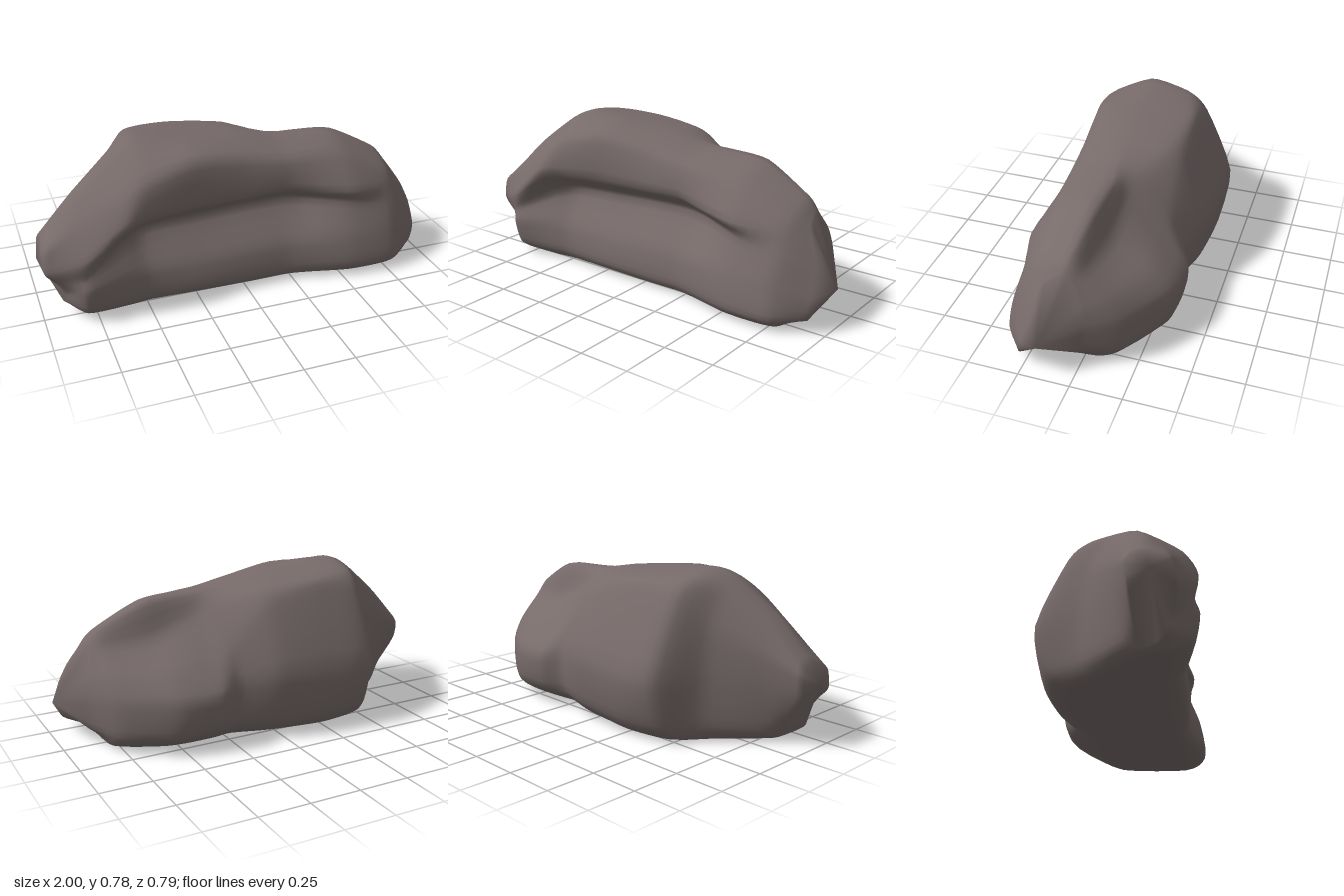
import * as THREE from 'three';

const RINGS = 50; // rings along the boulder
const SIDES = 48; // points around each ring

// Shared stations along the length; the two ends differ for each rail.
const stations = [-0.8, -0.6, -0.48, -0.25, 0.03, 0.22, 0.34, 0.55, 0.78];

// A guide rail running from the right end to the left end of the rock.
function rail([start, end], heights, depths) {
  const xs = [start, ...stations, end];
  return new THREE.CatmullRomCurve3(
    xs.map((x, i) => new THREE.Vector3(x, heights[i], depths[i])), false, 'catmullrom', 0.35);
}

// Front face, from the ground up
const bottomFront = rail([-0.85, 0.83],
  [0.03, 0.01, 0, 0, 0, 0, 0, 0, 0, 0, 0.03],
  [0.18, 0.26, 0.24, 0.22, 0.22, 0.23, 0.23, 0.25, 0.29, 0.28, 0.2]);
const skirt = rail([-0.9, 0.92],
  [0.07, 0.06, 0.06, 0.06, 0.06, 0.06, 0.06, 0.06, 0.06, 0.06, 0.06],
  [0.22, 0.34, 0.32, 0.3, 0.31, 0.31, 0.31, 0.33, 0.38, 0.38, 0.27]);
const wall = rail([-0.89, 0.96],
  [0.13, 0.18, 0.2, 0.2, 0.2, 0.21, 0.21, 0.21, 0.21, 0.2, 0.15],
  [0.25, 0.37, 0.32, 0.29, 0.29, 0.29, 0.29, 0.31, 0.36, 0.36, 0.25]);
const groove = rail([-0.93, 0.95],
  [0.2, 0.25, 0.35, 0.38, 0.39, 0.4, 0.4, 0.39, 0.38, 0.33, 0.27],
  [0.27, 0.35, 0.26, 0.2, 0.19, 0.18, 0.18, 0.2, 0.3, 0.32, 0.2]);
const brow = rail([-0.98, 0.91],
  [0.26, 0.34, 0.48, 0.49, 0.5, 0.5, 0.5, 0.48, 0.46, 0.43, 0.37],
  [0.27, 0.36, 0.37, 0.33, 0.3, 0.29, 0.28, 0.3, 0.34, 0.27, 0.17]);

// Top
const shoulder = rail([-0.98, 0.86],
  [0.36, 0.48, 0.61, 0.67, 0.72, 0.68, 0.65, 0.64, 0.61, 0.5, 0.45],
  [0.25, 0.27, 0.3, 0.3, 0.28, 0.25, 0.24, 0.23, 0.22, 0.21, 0.14]);
const crest = rail([-0.97, 0.84],
  [0.4, 0.57, 0.73, 0.78, 0.765, 0.735, 0.7, 0.69, 0.675, 0.56, 0.49],
  [0.15, 0.15, 0.1, 0.08, 0.08, 0.06, 0.03, 0.01, 0.02, 0.06, 0.07]);
const backCrest = rail([-0.97, 0.84],
  [0.38, 0.55, 0.69, 0.75, 0.74, 0.71, 0.64, 0.58, 0.5, 0.48, 0.45],
  [0.09, 0.06, -0.03, -0.14, -0.18, -0.16, -0.1, -0.07, -0.05, -0.01, 0.02]);

// Back face, from the upper edge down
const backShoulder = rail([-0.98, 0.87],
  [0.34, 0.44, 0.54, 0.66, 0.68, 0.63, 0.48, 0.4, 0.38, 0.37, 0.34],
  [0.07, 0, -0.12, -0.24, -0.25, -0.25, -0.24, -0.25, -0.24, -0.13, -0.02]);
const backBulge = rail([-0.97, 0.89],
  [0.25, 0.28, 0.3, 0.33, 0.33, 0.34, 0.3, 0.27, 0.27, 0.26, 0.24],
  [0.08, 0, -0.16, -0.38, -0.4, -0.38, -0.315, -0.365, -0.34, -0.19, -0.02]);
const backFoot = rail([-0.87, 0.88],
  [0.1, 0.07, 0.08, 0.09, 0.09, 0.09, 0.09, 0.09, 0.09, 0.09, 0.1],
  [0.1, 0.03, -0.16, -0.33, -0.37, -0.35, -0.3, -0.34, -0.33, -0.18, 0]);
const bottomBack = rail([-0.83, 0.81],
  [0.03, 0.01, 0, 0, 0, 0, 0, 0, 0, 0.01, 0.03],
  [0.13, 0.1, -0.08, -0.22, -0.26, -0.22, -0.17, -0.17, -0.16, -0.08, 0.06]);

const rails = [bottomFront, skirt, wall, groove, brow, shoulder, crest,
  backCrest, backShoulder, backBulge, backFoot, bottomBack];

// Lofts a closed skin across the rails, with a tip at each end.
function loft() {
  const positions = [];
  const index = [];
  for (let i = 0; i <= RINGS; i++) {
    const ring = new THREE.CatmullRomCurve3(
      rails.map((r) => r.getPoint(i / RINGS)), true, 'catmullrom', 0.35);
    for (let j = 0; j < SIDES; j++) {
      const p = ring.getPoint(j / SIDES);
      positions.push(p.x, Math.max(0, p.y), p.z); // flat underside
    }
  }
  const at = (i, j) => i * SIDES + (j % SIDES);
  for (let i = 0; i < RINGS; i++) {
    for (let j = 0; j < SIDES; j++) {
      index.push(at(i, j), at(i + 1, j), at(i + 1, j + 1));
      index.push(at(i, j), at(i + 1, j + 1), at(i, j + 1));
    }
  }
  const leftmost = positions.length / 3;
  positions.push(-1, 0.3, 0.17, 1, 0.19, 0.15);
  for (let j = 0; j < SIDES; j++) {
    index.push(leftmost, at(0, j), at(0, j + 1));
    index.push(leftmost + 1, at(RINGS, j + 1), at(RINGS, j));
  }
  const geometry = new THREE.BufferGeometry();
  geometry.setAttribute('position', new THREE.Float32BufferAttribute(positions, 3));
  geometry.setIndex(index);
  geometry.computeVertexNormals();
  return geometry;
}

export function createModel() {
  const stone = new THREE.MeshStandardMaterial({ color: 0x776b6a });
  stone.name = 'stone';
  const boulder = new THREE.Mesh(loft(), stone);
  boulder.name = 'boulder';
  const model = new THREE.Group();
  model.name = 'rock';
  model.add(boulder);
  return model;
}
